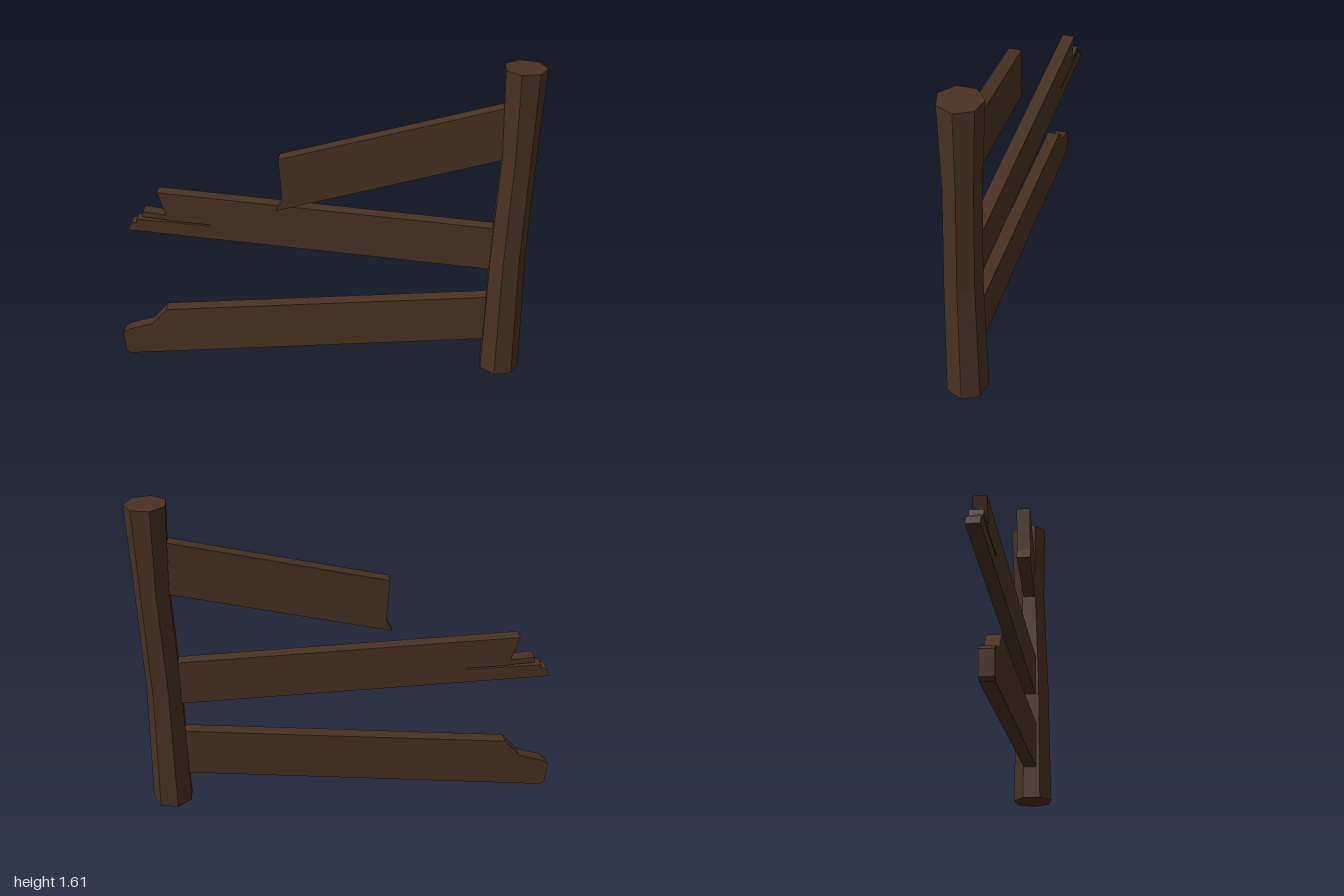
import * as THREE from 'three';

const wood = new THREE.MeshStandardMaterial({ color: 0x4a3222, flatShading: true });

// Post rings from top to bottom: y, centre x, centre z, radius
const RINGS = [
  [1.61, 0.898, -0.008, 0.097],
  [1.2, 0.9, -0.004, 0.083],
  [0.67, 0.885, 0.01, 0.087],
  [0.04, 0.888, 0.006, 0.099],
];

// Seven-sided, slightly crooked post
function makePost() {
  const geo = new THREE.CylinderGeometry(1, 1, 3, 7, 3, false, Math.PI / 2);
  const p = geo.attributes.position;
  for (let i = 0; i < p.count; i++) {
    const [y, cx, cz, r] = RINGS[Math.round(1.5 - p.getY(i))];
    p.setXYZ(i, cx + p.getX(i) * r, y, cz + p.getZ(i) * r);
  }
  geo.computeVertexNormals();
  const mesh = new THREE.Mesh(geo, wood);
  mesh.name = 'post';
  return mesh;
}

// Plank cut from an outline; slant shears z along its length away from the post
function makePlank(name, outline, slant) {
  const shape = new THREE.Shape(outline.map(([x, y]) => new THREE.Vector2(x, y)));
  const geo = new THREE.ExtrudeGeometry(shape, { depth: 0.063, bevelEnabled: false });
  const p = geo.attributes.position;
  for (let i = 0; i < p.count; i++) {
    p.setZ(i, p.getZ(i) - 0.0315 + slant * (0.82 - p.getX(i)));
  }
  geo.computeVertexNormals();
  const mesh = new THREE.Mesh(geo, wood);
  mesh.name = name;
  return mesh;
}

export function createModel() {
  const group = new THREE.Group();
  group.name = 'brokenFence';
  group.add(makePost());

  // Upper plank, snapped short
  group.add(makePlank('upperPlank', [
    [-0.185, 1.165], [-0.17, 0.955], [-0.2, 0.9], [0.87, 1.188], [0.87, 1.443],
  ], 0.063));

  // Middle plank with a split, splintered end
  group.add(makePlank('middlePlank', [
    [-0.79, 0.9], [-0.75, 0.78], [-0.865, 0.792], [-0.87, 0.762], [-0.75, 0.754],
    [-0.745, 0.75], [-0.54, 0.742], [-0.54, 0.734], [-0.9, 0.748], [-0.9, 0.73],
    [-0.928, 0.727], [-0.945, 0.685], [0.87, 0.597], [0.87, 0.818],
  ], -0.039));

  // Lower plank with a chipped end resting on the ground
  group.add(makePlank('lowerPlank', [
    [-1, 0.12], [-0.99, 0.012], [-0.97, 0], [0.87, 0.208], [0.87, 0.448],
    [-0.77, 0.275], [-0.85, 0.185], [-0.97, 0.145],
  ], 0));

  return group;
}
